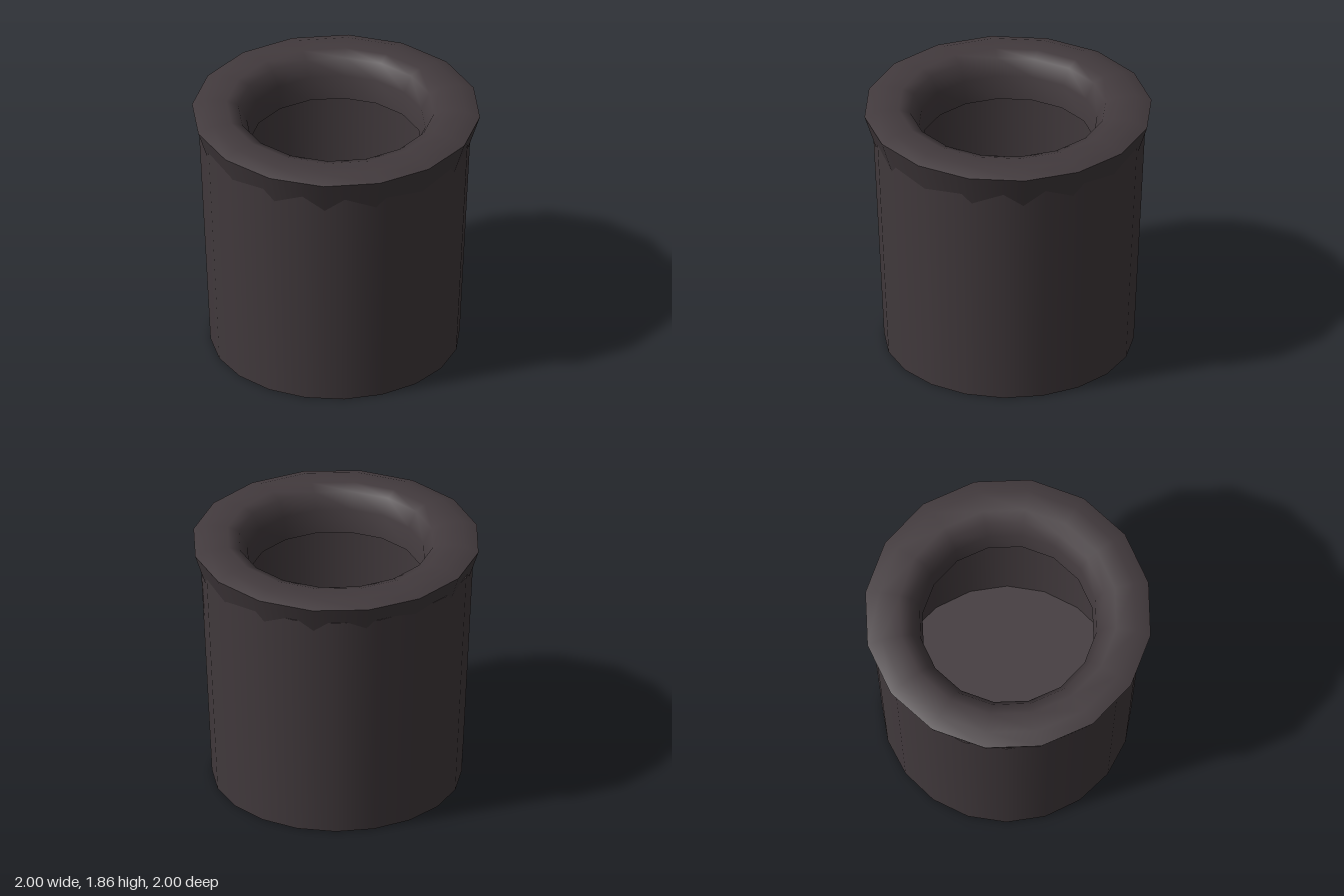
import * as THREE from 'three';

const glaze = new THREE.MeshStandardMaterial({ color: 0x423a3d });

// Revolve several profiles; each is smooth, with a sharp edge where two meet
function turned(name, segments, profiles) {
  const group = new THREE.Group();
  group.name = name;
  profiles.forEach(([part, points]) => {
    const pts = points.map(([r, y]) => new THREE.Vector2(r, y));
    const mesh = new THREE.Mesh(new THREE.LatheGeometry(pts, segments), glaze);
    mesh.name = part;
    group.add(mesh);
  });
  return group;
}

export function createModel() {
  const model = new THREE.Group();
  model.name = 'pot';

  // Tapered wall with a recessed base
  const body = turned('body', 20, [
    ['outerWall', [[0.865, 0], [0.945, 1.7]]],
    ['wallTop', [[0.945, 1.7], [0.9, 1.7]]],
    ['innerWall', [[0.9, 1.7], [0.83, 0.12]]],
    ['floor', [[0.83, 0.12], [0, 0.12]]],
    ['baseUnderside', [[0, 0.1], [0.83, 0.1]]],
    ['footInside', [[0.83, 0.1], [0.83, 0]]],
    ['footEdge', [[0.83, 0], [0.865, 0]]],
  ]);
  body.position.z = -0.01;
  model.add(body);

  // Thick rolled rim with fewer sides, overlapping the wall
  model.add(turned('rim', 16, [
    ['rimSide', [[0.9, 1.51], [0.932, 1.61], [1, 1.82]]],
    ['rimTop', [[1, 1.82], [0.9, 1.86], [0.76, 1.86], [0.68, 1.83], [0.62, 1.72], [0.6, 1.55]]],
    ['rimUnderside', [[0.6, 1.55], [0.72, 1.49], [0.9, 1.51]]],
  ]));

  return model;
}
